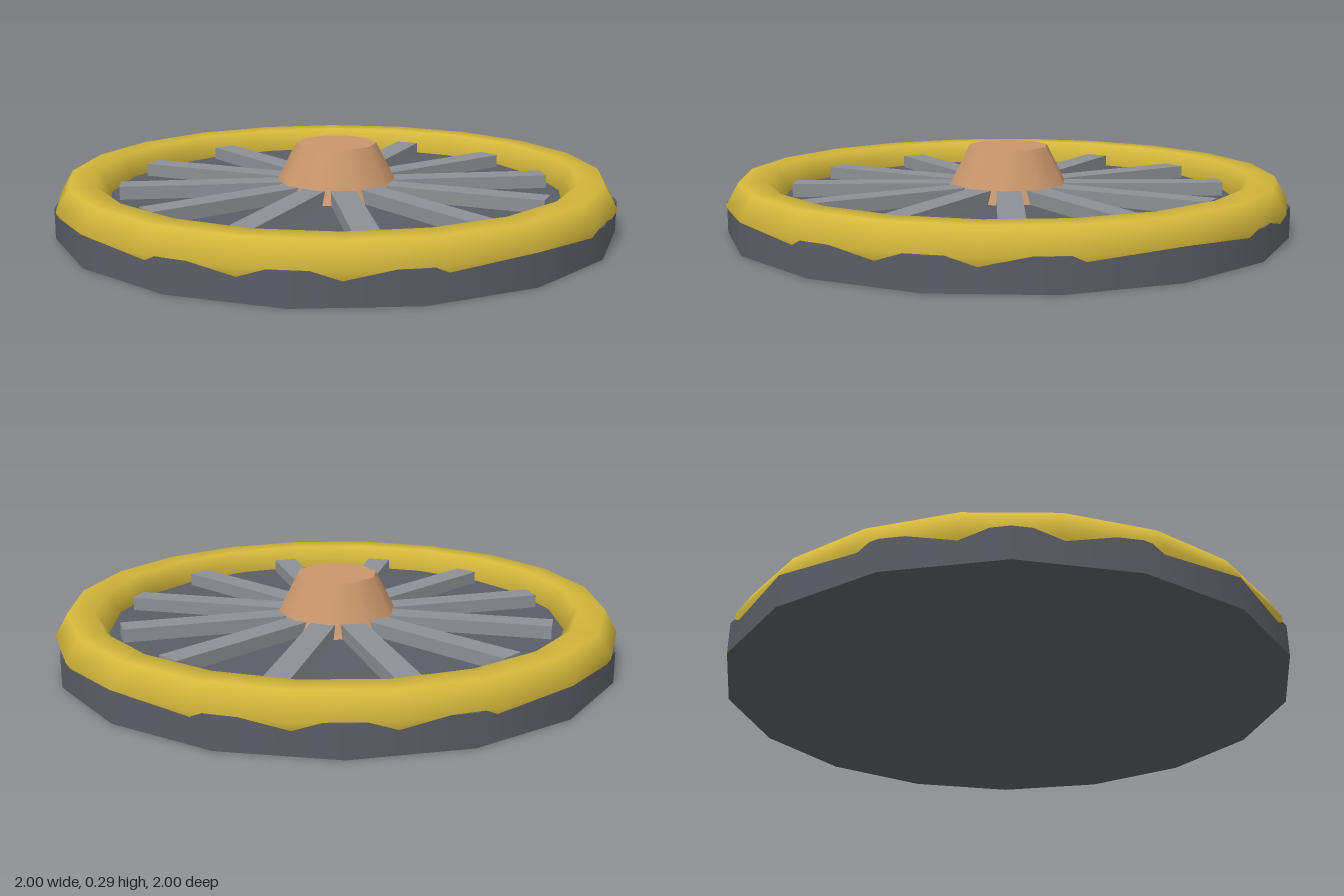
import * as THREE from 'three';

const mat = (name, color) => Object.assign(new THREE.MeshStandardMaterial({ color }), { name });

export function createModel() {
  const iron = mat('dark iron', 0x5a5d64);
  const steel = mat('light steel', 0x8c8f94);
  const gold = mat('gold', 0xd4b83c);
  const copper = mat('copper', 0xc8966c);

  const model = new THREE.Group();
  model.name = 'spokedDisc';
  const add = (name, geometry, material, y) => {
    const mesh = new THREE.Mesh(geometry, material);
    mesh.name = name;
    mesh.position.y = y;
    model.add(mesh);
    return mesh;
  };

  // Base plate, its top level with the centre of the rim
  const plateTop = 0.11;
  add('basePlate', new THREE.CylinderGeometry(1, 1, plateTop, 16), iron, plateTop / 2);

  // Rim ring lying flat, half sunk into the plate
  add('rim', new THREE.TorusGeometry(0.9075, 0.0925, 6, 20).rotateX(-Math.PI / 2), gold, plateTop);

  // Twelve radial spokes running out from under the hub
  const inner = 0.1, outer = 0.775, spokeHeight = 0.047;
  const spokeGeometry = new THREE.BoxGeometry(outer - inner, spokeHeight, 0.088)
    .translate((inner + outer) / 2, 0, 0);
  for (let i = 0; i < 12; i++) {
    const spoke = add('spoke' + (i + 1), spokeGeometry, steel, plateTop + spokeHeight / 2);
    spoke.rotation.y = (i * Math.PI) / 6;
  }

  // Tapered ten-sided hub
  const hubHeight = 0.18;
  add('hub', new THREE.CylinderGeometry(0.145, 0.237, hubHeight, 10), copper, plateTop + hubHeight / 2);

  return model;
}
